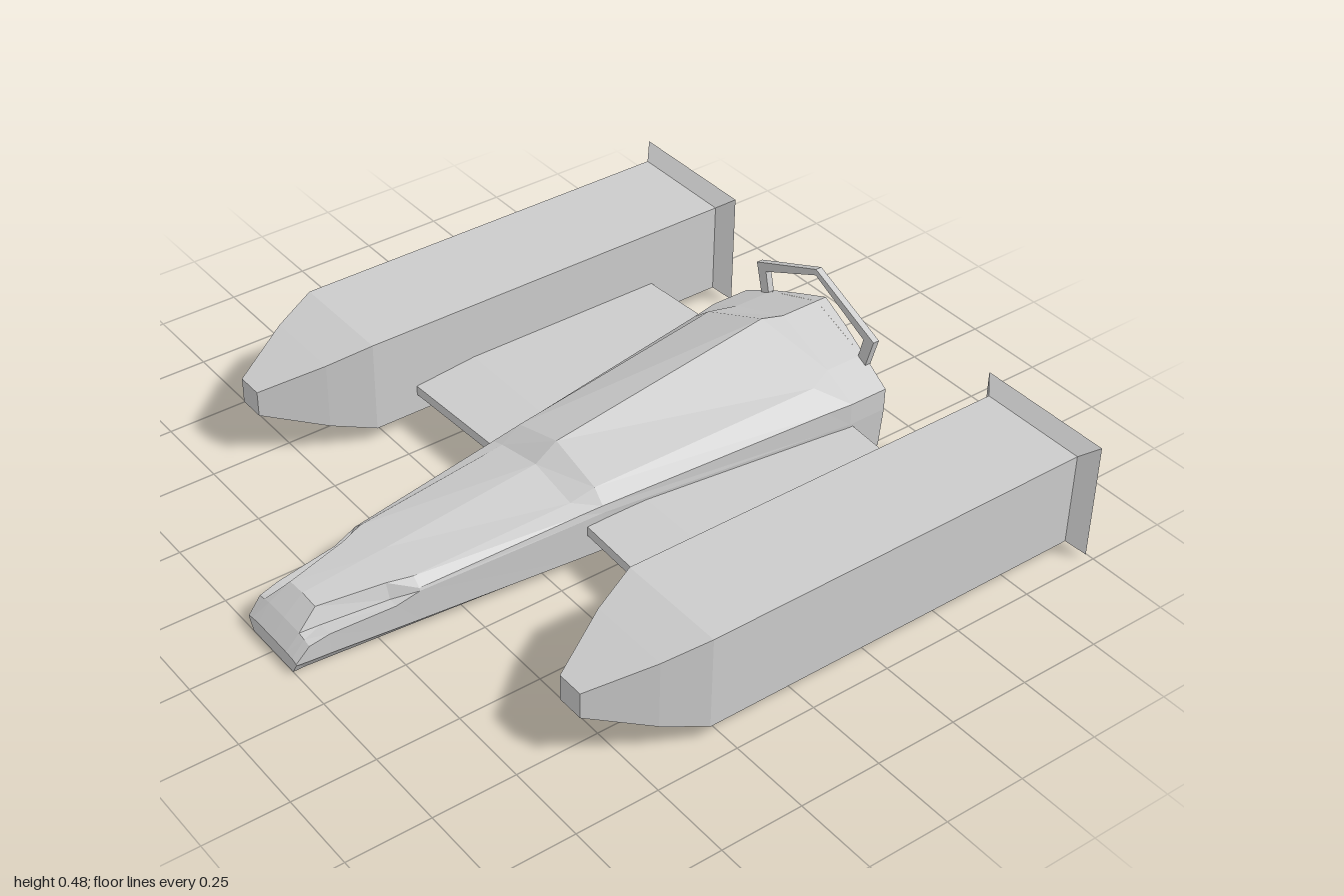
import * as THREE from 'three';

const grey = () => new THREE.MeshStandardMaterial({ color: 0xcccccc, flatShading: true });

// Skin between rows of [x, y, z] points; rows run counter-clockwise seen from the front.
function loft(name, rows, { closed = true, frontCap = false, backCap = false, thin = false } = {}) {
  const pos = [];
  const tri = (a, b, c) => pos.push(...a, ...b, ...c);
  const n = rows[0].length;
  for (let i = 0; i < rows.length - 1; i++) {
    for (let j = 0; j < (closed ? n : n - 1); j++) {
      const k = (j + 1) % n;
      const a = rows[i][j], b = rows[i][k], c = rows[i + 1][j], d = rows[i + 1][k];
      tri(a, c, b);
      tri(b, c, d);
    }
  }
  const last = rows[rows.length - 1];
  for (let j = 1; j < n - 1; j++) {
    if (frontCap) tri(rows[0][0], rows[0][j], rows[0][j + 1]);
    if (backCap) tri(last[0], last[j + 1], last[j]);
  }
  const geo = new THREE.BufferGeometry();
  geo.setAttribute('position', new THREE.Float32BufferAttribute(pos, 3));
  geo.computeVertexNormals();
  const mat = grey();
  if (thin) mat.side = THREE.DoubleSide;
  const mesh = new THREE.Mesh(geo, mat);
  mesh.name = name;
  return mesh;
}

// Rectangle ring around the engine axis
const rect = (z, hx, hy, cy = 0.195) =>
  [[-hx, cy - hy, z], [hx, cy - hy, z], [hx, cy + hy, z], [-hx, cy + hy, z]];

// Hull ring: keel, chine, side top, notch floor, deck edge, mirrored about the ridge
function hullRing([z, bx, cx, sx, sy, nx, ny, dx, dy, ry]) {
  const half = [[bx, 0, z], [cx, 0.035, z], [sx, sy, z], [nx, ny, z], [dx, dy, z]];
  const other = half.map(([x, y]) => [-x, y, z]).reverse();
  return [...half, [0, ry, z], ...other];
}

function engine(x, name) {
  const g = new THREE.Group();
  g.name = name;
  g.add(loft('engineBody', [
    rect(0.6, 0.042, 0.04), rect(0.42, 0.127, 0.105),
    rect(0.29, 0.17, 0.145), rect(-0.95, 0.17, 0.145),
  ], { frontCap: true, backCap: true }));
  g.add(loft('engineFlare', [rect(-0.945, 0.17, 0.145), rect(-0.985, 0.215, 0.182)], { thin: true }));
  g.position.x = x;
  return g;
}

function wing(s, name) {
  const ring = (zIn, zOut, y0, y1) => {
    const p = [[s * 0.15, y0, zIn], [s * 0.62, y0, zOut], [s * 0.62, y1, zOut], [s * 0.15, y1, zIn]];
    return s > 0 ? p : p.reverse();
  };
  return loft(name, [
    ring(0.132, 0.151, 0.11, 0.14), ring(-0.05, -0.05, 0.11, 0.16), ring(-0.73, -0.702, 0.115, 0.16),
  ], { frontCap: true, backCap: true });
}

export function createModel() {
  const model = new THREE.Group();
  model.name = 'spacecraft';

  // Fuselage with notched nose, raised windshield and ridged roof
  const sections = [
    // z, keel x, chine x, side x/y, notch x/y, deck x/y, ridge y
    [1.0, 0.10, 0.12, 0.12, 0.04, 0.10, 0.045, 0.07, 0.047, 0.048],
    [0.96, 0.10, 0.125, 0.125, 0.085, 0.10, 0.09, 0.075, 0.095, 0.097],
    [0.9, 0.105, 0.13, 0.13, 0.10, 0.085, 0.10, 0.062, 0.146, 0.15],
    [0.71, 0.12, 0.15, 0.152, 0.113, 0.122, 0.115, 0.105, 0.16, 0.17],
    [0.64, 0.125, 0.157, 0.16, 0.135, 0.157, 0.143, 0.13, 0.166, 0.176],
    [0.155, 0.165, 0.204, 0.21, 0.165, 0.205, 0.185, 0.16, 0.2, 0.232],
    [0.085, 0.17, 0.21, 0.215, 0.168, 0.212, 0.19, 0.175, 0.23, 0.28],
    [-0.63, 0.226, 0.288, 0.299, 0.17, 0.298, 0.235, 0.235, 0.287, 0.392],
    [-0.71, 0.235, 0.298, 0.31, 0.17, 0.31, 0.24, 0.2, 0.295, 0.37],
    [-0.835, 0.235, 0.298, 0.31, 0.17, 0.31, 0.24, 0.2, 0.295, 0.37],
  ];
  model.add(loft('fuselage', sections.map(hullRing), { frontCap: true }));

  // Faceted tail: rows run from the roof edge down to the keel
  const tailRow = (xs, ys, zs) => [0, 1, 2, 3, 2, 1, 0].map((k, i) =>
    [(i < 3 ? 1 : -1) * xs[k], ys[k], zs[k]]);
  const flat = (y) => [y, y, y, y];
  const roofX = [0.31, 0.2, 0.1, 0], roofY = [0.24, 0.295, 0.333, 0.37];
  model.add(loft('tail', [
    tailRow(roofX, roofY, flat(-0.835)),
    tailRow(roofX, roofY, [-0.835, -0.845, -0.86, -0.87]),
    tailRow([0.31, 0.21, 0.11, 0], flat(0.17), [-0.835, -0.872, -0.935, -0.965]),
    tailRow([0.298, 0.2, 0.105, 0], flat(0.035), [-0.835, -0.875, -0.95, -0.995]),
    tailRow([0.235, 0.17, 0.095, 0], flat(0), [-0.835, -0.87, -0.945, -1]),
    tailRow([0.235, 0.17, 0.095, 0], flat(0), flat(-0.835)),
  ], { closed: false }));

  // Angular hoop above the tail
  const half = [[0.225, 0.26], [0.257, 0.372], [0, 0.482]];
  const inner = [[0, 0.462], [0.215, 0.36], [0.19, 0.26]];
  const flip = (p) => p.map(([x, y]) => [-x, y]).reverse();
  const outline = [...half, ...flip(half).slice(1), ...flip(inner), ...inner.slice(1)];
  const hoopGeo = new THREE.ExtrudeGeometry(
    new THREE.Shape(outline.map(([x, y]) => new THREE.Vector2(x, y))),
    { depth: 0.02, bevelEnabled: false });
  const hoop = new THREE.Mesh(hoopGeo, grey());
  hoop.name = 'hoop';
  hoop.position.z = -0.845;
  model.add(hoop);

  // Wings and engines on both sides
  for (const [s, side] of [[1, 'left'], [-1, 'right']]) {
    model.add(wing(s, side + 'Wing'), engine(s * 0.77, side + 'Engine'));
  }
  return model;
}
